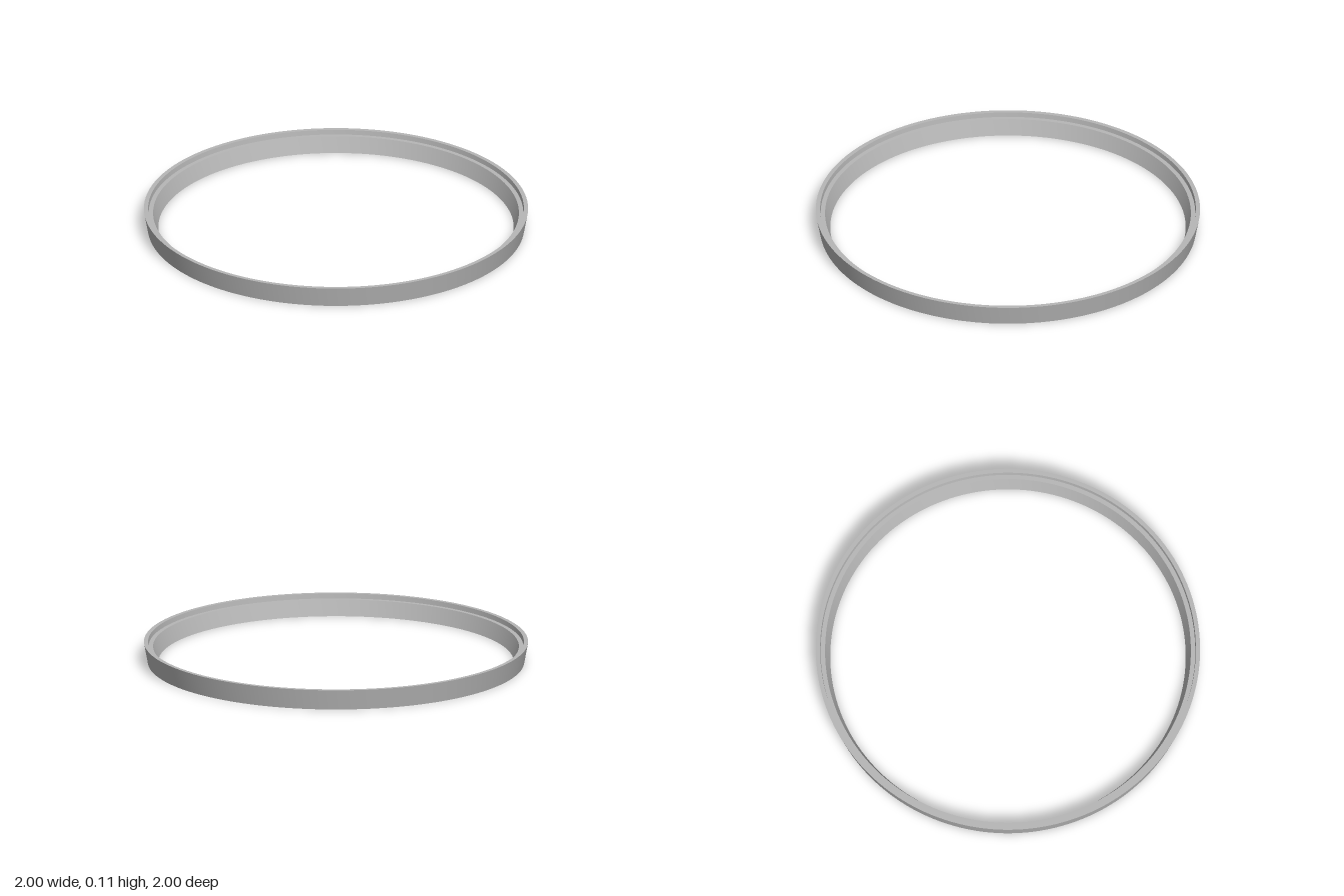
import * as THREE from 'three';
import { toCreasedNormals } from 'three/addons/utils/BufferGeometryUtils.js';

export function createModel() {
  const model = new THREE.Group();
  model.name = 'stackingRing';
  const grey = new THREE.MeshStandardMaterial({ color: 0xb6b6b6 });
  grey.name = 'grey';

  // Closed cross-section [radius, height], running up the outside and down the inside
  const section = [
    [0.98, 0], [1, 0.108],          // tapered outer wall
    [0.978, 0.108], [0.975, 0.083], // rim and step
    [0.952, 0.083], [0.925, 0],     // ledge and sloping inner wall
    [0.944, 0], [0.955, 0.06],      // underside groove, inner side
    [0.972, 0.06], [0.965, 0],      // groove ceiling and outer side
    [0.98, 0],
  ].map(([r, y]) => new THREE.Vector2(r, y));

  // Smooth around the ring, sharp between the section's faces
  const geometry = toCreasedNormals(new THREE.LatheGeometry(section, 160), 0.5);
  const ring = new THREE.Mesh(geometry, grey);
  ring.name = 'ring';
  model.add(ring);
  return model;
}
